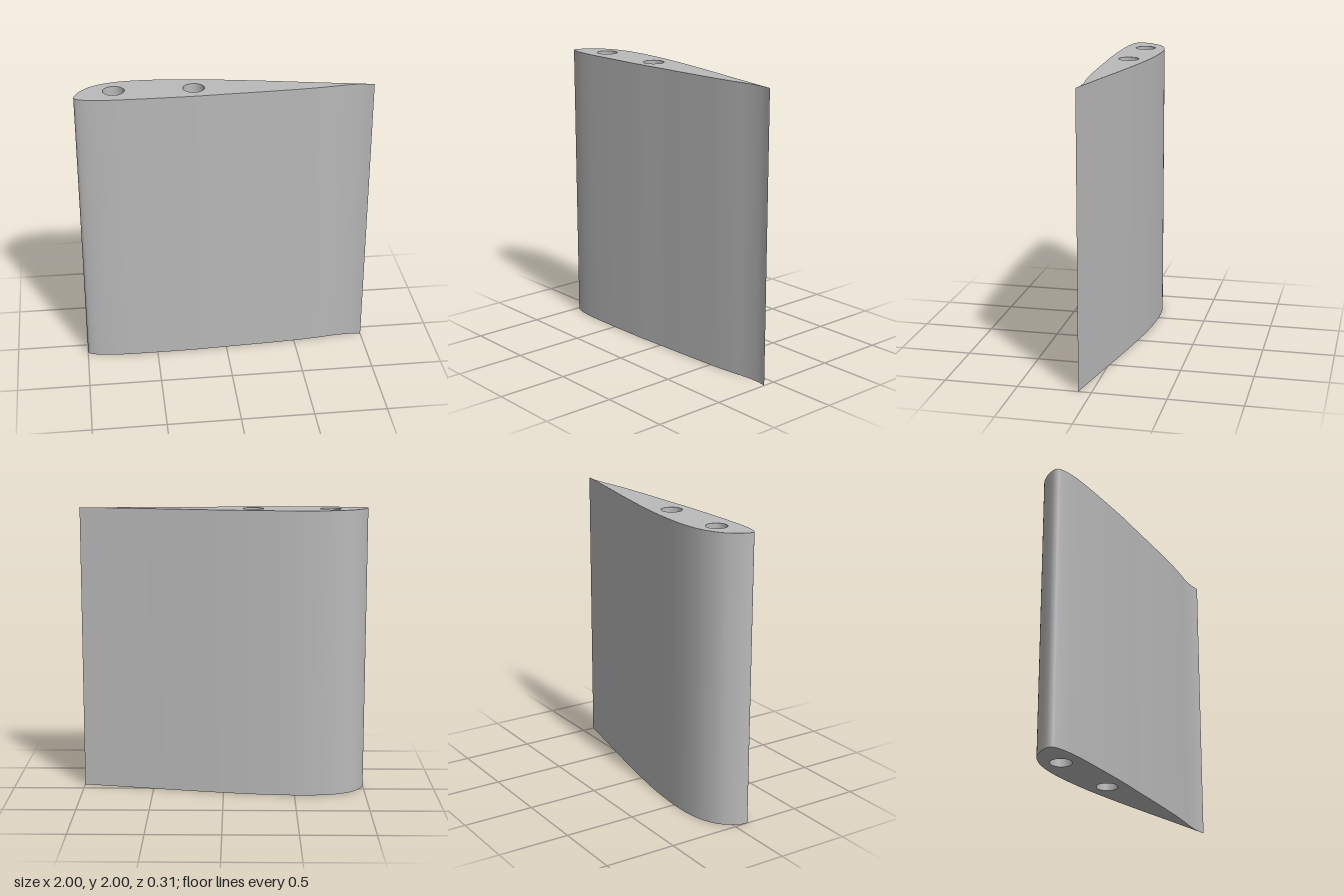
import * as THREE from 'three';
import { toCreasedNormals } from 'three/addons/utils/BufferGeometryUtils.js';

const SPAN = 2;

// Section outline from the trailing edge, over the back, round the nose and along the front
const OUTLINE = [
  [1, -0.088], [0.8, -0.05], [0.55, -0.002], [0.4, 0.028], [0.2, 0.066], [0, 0.101], [-0.2, 0.131],
  [-0.4, 0.151], [-0.57, 0.157], [-0.7, 0.148], [-0.8, 0.125], [-0.9, 0.075], [-0.96, 0.01],
  [-0.99, -0.045], [-1, -0.08], [-0.993, -0.103], [-0.96, -0.121], [-0.9, -0.136], [-0.8, -0.147],
  [-0.65, -0.151], [-0.4, -0.151], [-0.2, -0.148], [0, -0.138], [0.2, -0.13], [0.4, -0.12],
  [0.55, -0.111], [0.7, -0.096], [0.8, -0.083], [0.88, -0.078], [0.94, -0.079], [1, -0.088],
];

// Spar holes: x, y, radius
const HOLES = [[-0.735, 0.001, 0.072], [-0.205, -0.012, 0.072]];

export function createModel() {
  const group = new THREE.Group();
  group.name = 'wingSection';

  const grey = new THREE.MeshStandardMaterial({ color: 0xbababa });
  grey.name = 'grey';

  // Smooth airfoil with a sharp trailing edge
  const curve = new THREE.CatmullRomCurve3(
    OUTLINE.map(([x, y]) => new THREE.Vector3(x, y, 0)), false, 'centripetal');
  const points = curve.getPoints((OUTLINE.length - 1) * 4).map(p => new THREE.Vector2(p.x, p.y));
  points.pop();
  const section = new THREE.Shape(points);

  // Spar holes run through the whole span
  for (const [x, y, r] of HOLES) {
    const hole = new THREE.Path();
    hole.absarc(x, y, r, 0, Math.PI * 2, true);
    section.holes.push(hole);
  }

  // Extrude along the span and stand it upright
  const body = new THREE.ExtrudeGeometry(section, {
    depth: SPAN, bevelEnabled: false, curveSegments: 40,
  });
  body.rotateX(-Math.PI / 2);

  const wing = new THREE.Mesh(toCreasedNormals(body, 0.6), grey);
  wing.name = 'wing';
  group.add(wing);
  return group;
}
